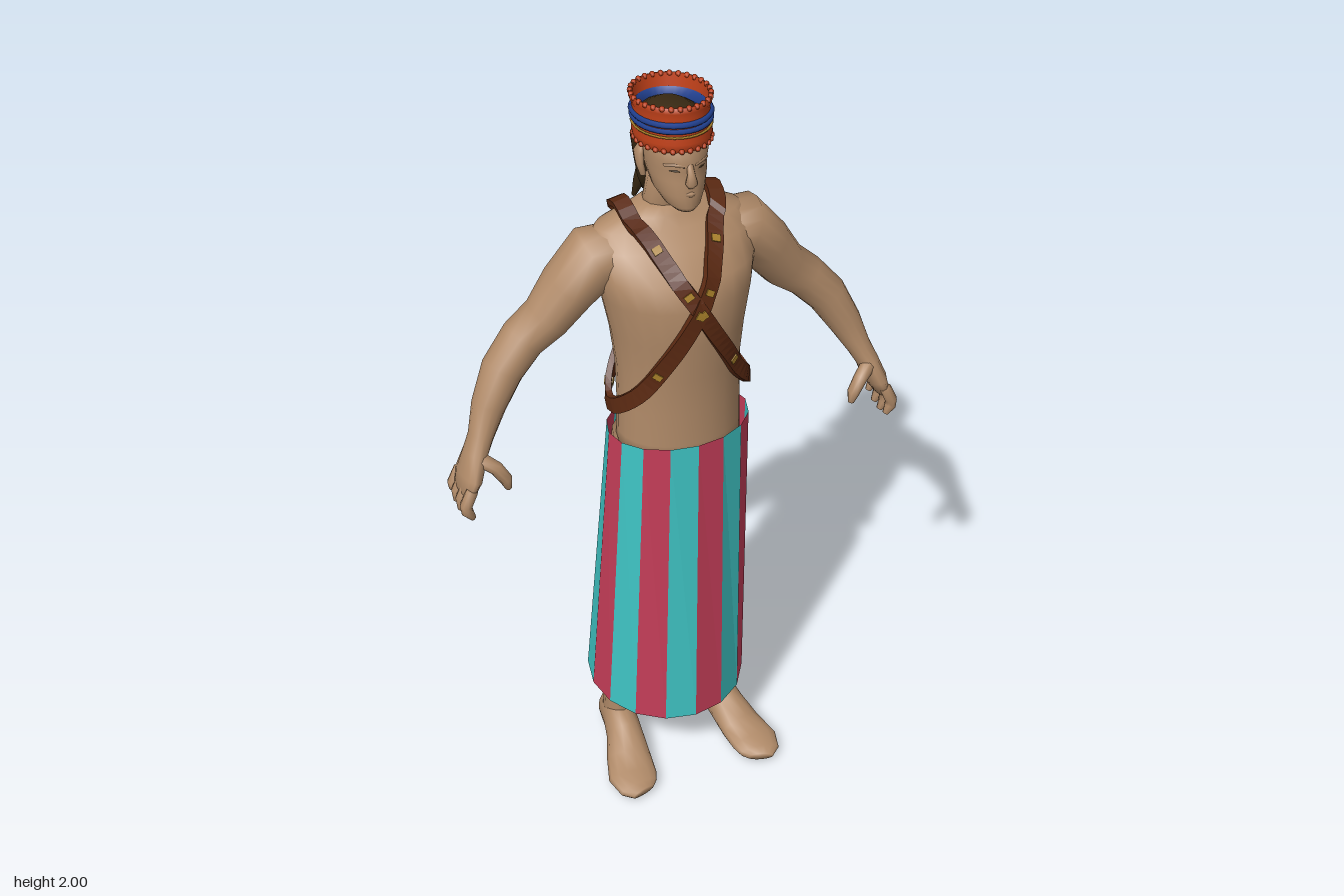
import * as THREE from 'three';

const mat = (name, color, double) => {
  const m = new THREE.MeshStandardMaterial({ color });
  m.name = name;
  if (double) m.side = THREE.DoubleSide;
  return m;
};
const V = (x, y, z) => new THREE.Vector3(x, y, z);

// Skin a surface over closed rings (counter-clockwise about the direction of travel)
function loft(rings, caps = true) {
  const n = rings[0].length, pos = [], idx = [];
  rings.forEach(r => r.forEach(p => pos.push(p.x, p.y, p.z)));
  for (let i = 0; i < rings.length - 1; i++) for (let j = 0; j < n; j++) {
    const a = i * n + j, b = i * n + (j + 1) % n;
    idx.push(a, b, a + n, b, b + n, a + n);
  }
  if (caps) [0, rings.length - 1].forEach((ri, end) => {
    const c = rings[ri].reduce((s, p) => s.add(p), V(0, 0, 0)).divideScalar(n), k = pos.length / 3;
    pos.push(c.x, c.y, c.z);
    for (let j = 0; j < n; j++) {
      const a = ri * n + j, b = ri * n + (j + 1) % n;
      idx.push(k, end ? a : b, end ? b : a);
    }
  });
  const g = new THREE.BufferGeometry();
  g.setAttribute('position', new THREE.Float32BufferAttribute(pos, 3));
  g.setIndex(idx);
  g.computeVertexNormals();
  return g;
}

// Horizontal elliptical rings from [y, halfWidth, zFront, zBack]
const stack = (rows, n = 20) => loft(rows.map(([y, rx, zf, zb]) =>
  Array.from({ length: n }, (_, j) => {
    const a = j / n * Math.PI * 2;
    return V(rx * Math.sin(a), y, (zf + zb) / 2 + (zf - zb) / 2 * Math.cos(a));
  })));

// Limb along [x, y, z, radiusAcross, radiusDeep]; s = 1 or -1 mirrors it in x
function limb(rows, s = 1, ref = V(0, 0, 1), n = 12) {
  const c = rows.map(r => V(r[0] * s, r[1], r[2]));
  return loft(rows.map((r, i) => {
    const t = c[Math.min(i + 1, c.length - 1)].clone().sub(c[Math.max(i - 1, 0)]).normalize();
    const u = t.clone().cross(ref).normalize(), v = t.clone().cross(u);
    return Array.from({ length: n }, (_, j) => {
      const a = j / n * Math.PI * 2;
      const p = c[i].clone().addScaledVector(u, r[3] * Math.cos(a)).addScaledVector(v, (r[4] ?? r[3]) * Math.sin(a));
      p.y = Math.max(p.y, 0);
      return p;
    });
  }));
}

const TORSO = [
  [1.05, .158, .185, -.06], [1.11, .157, .185, -.06], [1.2, .155, .18, -.055], [1.3, .156, .183, -.065],
  [1.4, .167, .19, -.082], [1.5, .186, .193, -.1], [1.56, .2, .17, -.102], [1.62, .203, .115, -.095],
  [1.655, .18, .072, -.085], [1.68, .11, .052, -.072], [1.7, .066, .042, -.062]];

// Torso half width, centre z and half depth at a height
function section(y) {
  let i = 0;
  while (i < TORSO.length - 2 && TORSO[i + 1][0] < y) i++;
  const a = TORSO[i], b = TORSO[i + 1], k = THREE.MathUtils.clamp((y - a[0]) / (b[0] - a[0]), 0, 1);
  const [, rx, f, r] = a.map((v, j) => v + (b[j] - v) * k);
  return { rx, cz: (f + r) / 2, rz: (f - r) / 2 };
}

// Strap wound around the torso, from one shoulder to the opposite hip
function strap(s, t0, t1, width, thick) {
  const curve = new THREE.CatmullRomCurve3([
    [.112, 1.7, -.01], [.1, 1.66, .06], [.07, 1.615, .12], [0, 1.5, .2], [-.08, 1.36, .18], [-.14, 1.26, .14],
    [-.17, 1.2, .06], [-.13, 1.27, -.03], [-.07, 1.37, -.08], [0, 1.48, -.1], [.07, 1.6, -.1], [.105, 1.665, -.07]
  ].map(([x, y, z]) => V(x * s, y, z)), true);
  const put = t => {
    const p = curve.getPointAt(((t % 1) + 1) % 1);
    if (p.y < 1.665) {
      const { rx, cz, rz } = section(p.y);
      const k = (1 + Math.max(0, 1.3 - p.y)) / Math.hypot(p.x / rx, (p.z - cz) / rz);
      p.x *= k;
      p.z = cz + (p.z - cz) * k;
    }
    return p;
  };
  const steps = Math.max(2, Math.round((t1 - t0) * 64)), rings = [];
  for (let i = 0; i <= steps; i++) {
    const t = t0 + (t1 - t0) * i / steps, p = put(t);
    const d = put(t + .008).sub(put(t - .008)).normalize();
    const { rx, cz, rz } = section(Math.min(p.y, 1.58));
    const out = V(p.x / rx ** 2, Math.max(0, p.y - 1.55) * 100, (p.z - cz) / rz ** 2);
    const u = out.cross(d).normalize(), v = d.clone().cross(u);
    p.addScaledVector(v, .006);
    rings.push([[1, 1], [-1, 1], [-1, -1], [1, -1]].map(([a, b]) =>
      p.clone().addScaledVector(u, a * width / 2).addScaledVector(v, b * thick / 2)));
  }
  const g = loft(rings, t1 - t0 < 1).toNonIndexed();
  g.computeVertexNormals();
  return g;
}

// Every second panel of a 16-sided flared skirt
function skirtPanels(parity) {
  const pos = [], N = 16;
  const at = (k, y, rx, zf, zb) => {
    const a = k / N * Math.PI * 2;
    return [rx * Math.sin(a), y, (zf + zb) / 2 + (zf - zb) / 2 * Math.cos(a)];
  };
  for (let k = parity; k < N; k += 2) {
    const [a, b] = [k, k + 1].map(i => at(i, .2, .21, .195, -.248));
    const [c, d] = [k, k + 1].map(i => at(i, 1.11, .182, .195, -.072));
    pos.push(...a, ...b, ...c, ...b, ...d, ...c);
  }
  const g = new THREE.BufferGeometry();
  g.setAttribute('position', new THREE.Float32BufferAttribute(pos, 3));
  g.computeVertexNormals();
  return g;
}

export function createModel() {
  const model = new THREE.Group();
  const skin = mat('skin', 0xb08a68), teal = mat('teal cloth', 0x40c6c6, true), red = mat('crimson cloth', 0xc63e59, true);
  const leather = mat('brown leather', 0x5a2912), gold = mat('gold', 0xa8802a), hair = mat('dark hair', 0x3a2a14);
  const orange = mat('orange beads', 0xbf4019, true), blue = mat('blue band', 0x21408f, true);
  const add = (name, geo, m, parent = model) => {
    const mesh = new THREE.Mesh(geo, m);
    mesh.name = name;
    parent.add(mesh);
    return mesh;
  };

  // Body and head
  add('torso', stack(TORSO, 24), skin);
  add('neck', limb([[0, 1.66, -.015, .068, .055], [0, 1.71, -.01, .056, .048], [0, 1.8, .02, .054, .055]]), skin);
  add('head', stack([[1.732, .026, .128, .06], [1.745, .042, .136, .02], [1.775, .059, .135, -.02], [1.81, .067, .133, -.045],
    [1.835, .07, .128, -.06], [1.86, .073, .134, -.065], [1.92, .072, .12, -.07]], 24), skin);
  add('nose', limb([[0, 1.855, .127, .007], [0, 1.83, .136, .01], [0, 1.812, .138, .015], [0, 1.803, .132, .01]], 1, V(0, 0, 1), 8), skin);
  add('lips', limb([[-.022, 1.778, .122, .004], [0, 1.78, .133, .008], [.022, 1.778, .122, .004]], 1, V(0, 0, 1), 6), skin);

  // Hair under the hat, falling in strands at the back
  add('hair', stack([[1.69, .035, -.06, -.095], [1.74, .056, -.02, -.086], [1.8, .069, 0, -.082], [1.86, .079, .02, -.085],
    [1.9, .078, .11, -.085], [1.93, .068, .1, -.07], [1.95, .04, .065, -.035]]), hair);
  [-.03, 0, .03].forEach((x, i) => add('hairStrand', limb([[x, 1.76, -.075, .018], [x * 1.2, 1.71, -.09, .016],
    [x * 1.4, 1.655 + (i % 2) * .02, -.112, .006]], 1, V(0, 0, 1), 6), hair));

  for (const s of [1, -1]) {
    const side = s > 0 ? 'left' : 'right';
    // Face details
    add(side + 'Brow', limb([[.012, 1.852, .128, .005], [.034, 1.856, .118, .006], [.052, 1.851, .1, .004]], s, V(0, 0, 1), 6), skin);
    add(side + 'Eye', limb([[.02, 1.838, .122, .002], [.03, 1.839, .118, .004], [.042, 1.837, .107, .002]], s, V(0, 0, 1), 6), hair);
    add(side + 'Ear', limb([[.072, 1.79, .025, .007, .01], [.077, 1.815, .018, .009, .017], [.078, 1.845, .012, .01, .021], [.073, 1.86, .012, .006, .012]], s), skin);

    // Arm with palm, fingers and thumb
    const arm = new THREE.Group();
    arm.name = side + 'Arm';
    model.add(arm);
    add('arm', limb([[.1, 1.59, 0, .062, .08], [.19, 1.582, 0, .079, .085], [.25, 1.515, -.005, .068, .077], [.305, 1.44, -.01, .06, .062],
      [.365, 1.39, -.015, .055, .058], [.425, 1.325, 0, .051, .054], [.47, 1.245, .02, .042, .042], [.5, 1.18, .042, .031, .034],
      [.52, 1.14, .052, .028, .044], [.54, 1.09, .06, .027, .06], [.556, 1.05, .062, .018, .056]], s, V(0, 0, 1), 14), skin, arm);
    for (let f = 0; f < 4; f++) {
      const z = .012 + f * .033, dy = [.015, .003, 0, .008][f];
      add('finger', limb([[.55, 1.075, z, .015], [.568, 1.035, z, .016], [.566, 1.01 + dy, z + .002, .015], [.553, .988 + dy, z + .003, .008]],
        s, V(0, 0, 1), 8), skin, arm);
    }
    add('thumb', limb([[.52, 1.14, .075, .02], [.483, 1.115, .098, .018], [.462, 1.08, .104, .016], [.457, 1.052, .104, .008]], s, V(0, 0, 1), 8), skin, arm);

    // Leg and foot
    add(side + 'Leg', limb([[.09, 1.08, .05, .075, .08], [.105, .6, -.01, .06, .065], [.125, .35, -.03, .05, .057], [.14, .2, -.015, .037, .045],
      [.143, .11, -.02, .038, .05], [.143, .04, -.025, .04, .05]], s), skin);
    add(side + 'Foot', limb([[.138, .045, -.092, .022, .03], [.14, .055, -.065, .042, .055], [.145, .066, 0, .046, .066], [.152, .054, .055, .05, .054],
      [.166, .032, .12, .06, .034], [.18, .025, .185, .066, .025], [.178, .022, .225, .055, .02], [.172, .02, .245, .035, .012]], s, V(0, 1, 0), 14), skin);

    // Crossed strap with gold plates
    add(side + 'ShoulderStrap', strap(s, 0, 1, .04, .016), leather);
    [.1, .19, .23, .37, .55, .72, .86].forEach(t => add('strapPlate', strap(s, t, t + .012, .022, .022), gold));
  }

  // Striped skirt
  add('skirtRedStripes', skirtPanels(0), red);
  add('skirtTealStripes', skirtPanels(1), teal);

  // Open beaded hat, tilted back slightly
  const hat = new THREE.Group();
  hat.name = 'hat';
  hat.position.set(0, 1.93, .017);
  hat.rotation.x = -.1;
  hat.scale.z = 1.24;
  model.add(hat);
  const lathe = pts => new THREE.LatheGeometry(pts.map(p => new THREE.Vector2(...p)), 32);
  add('hatWall', lathe([[.08, -.054], [.086, -.054], [.089, -.035], [.086, -.018], [.086, .026], [.091, .04], [.091, .053], [.085, .053], [.08, -.054]]), orange, hat);
  add('hatLining', lathe([[.08, -.01], [.068, .004], [.082, .022]]), blue, hat);
  [[-.003, .006], [.012, .007]].forEach(([y, r]) => {
    const ring = add('hatBlueBand', new THREE.TorusGeometry(.087, r, 6, 32), blue, hat);
    ring.rotation.x = Math.PI / 2;
    ring.position.y = y;
  });
  const trim = add('hatGoldTrim', new THREE.TorusGeometry(.088, .003, 5, 32), gold, hat);
  trim.rotation.x = Math.PI / 2;
  trim.position.y = -.017;
  const bead = new THREE.SphereGeometry(.007, 6, 5);
  for (let i = 0; i < 28; i++) {
    const a = i / 28 * Math.PI * 2;
    [[.088, .051], [.086, -.051]].forEach(([r, y]) =>
      add('hatBead', bead, orange, hat).position.set(r * Math.sin(a), y, r * Math.cos(a)));
  }
  return model;
}
